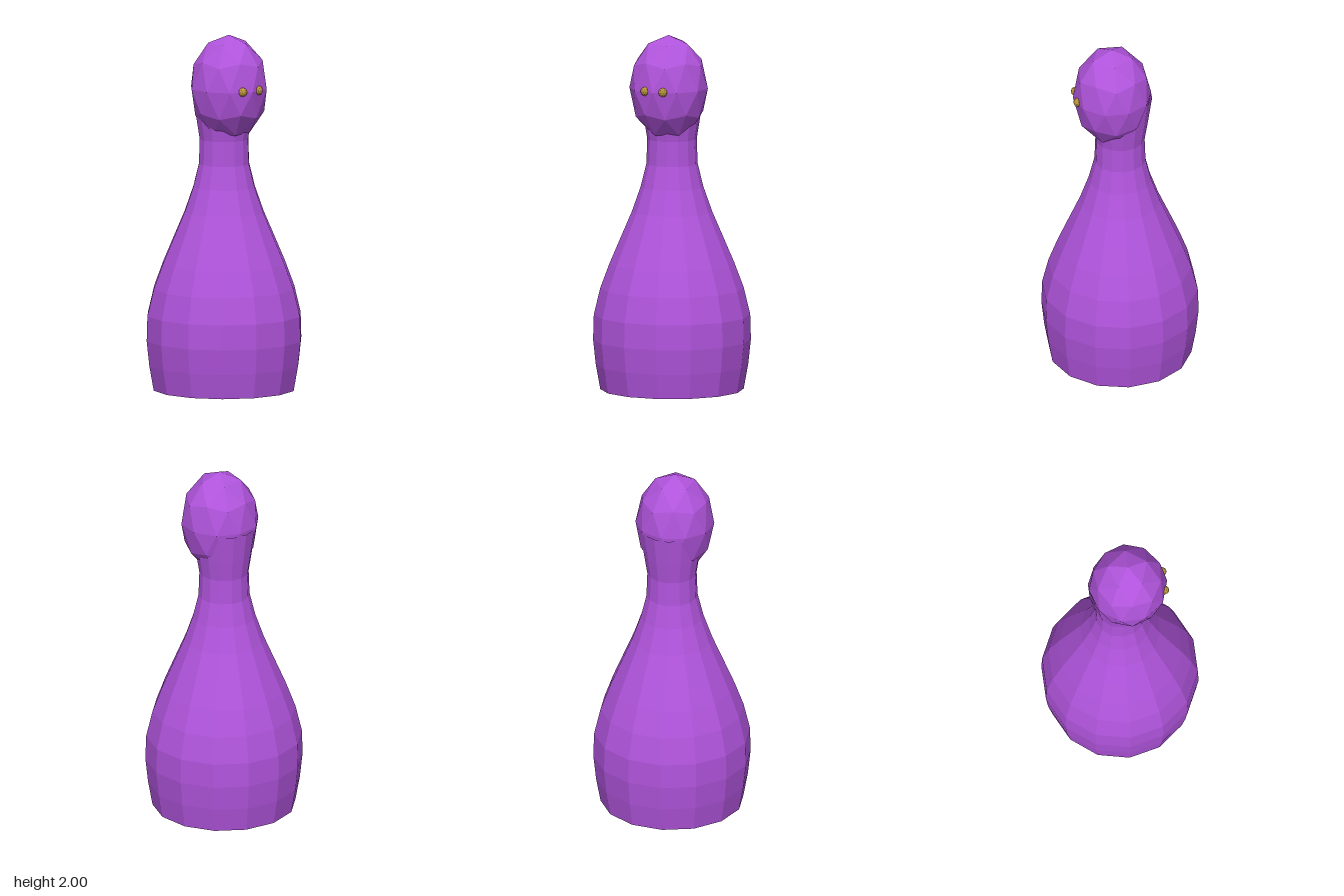
import * as THREE from 'three';

const purple = new THREE.MeshStandardMaterial({ color: 0xb054dc, flatShading: true, side: THREE.DoubleSide });
purple.name = 'purple';
const gold = new THREE.MeshStandardMaterial({ color: 0xb8923a, flatShading: true });
gold.name = 'gold';

function addPart(group, name, geometry, material) {
  const flat = geometry.index ? geometry.toNonIndexed() : geometry;
  flat.computeVertexNormals();
  const mesh = new THREE.Mesh(flat, material);
  mesh.name = name;
  group.add(mesh);
  return mesh;
}

// Faceted ball with one corner pointing straight up
function facetedBall(rx, ry, rz) {
  const ball = new THREE.IcosahedronGeometry(1, 1);
  ball.rotateZ(-Math.atan(2 / (1 + Math.sqrt(5))));
  return ball.scale(rx, ry, rz);
}

export function createModel() {
  const group = new THREE.Group();
  group.name = 'pinFigure';

  // Hollow pin-shaped body, open at the base and at the top of the neck
  const profile = [
    [0.4, 0], [0.425, 0.14], [0.44, 0.28], [0.436, 0.42], [0.4, 0.57],
    [0.348, 0.71], [0.284, 0.86], [0.224, 1.0], [0.175, 1.14],
    [0.143, 1.27], [0.138, 1.41], [0.157, 1.53], [0.18, 1.69],
  ].map(([r, y]) => new THREE.Vector2(r, y));
  addPart(group, 'body', new THREE.LatheGeometry(profile, 14, Math.PI / 2), purple);

  // Egg-shaped head, set slightly forward of the neck
  addPart(group, 'head', facetedBall(0.22, 0.298, 0.22), purple).position.set(0, 1.702, 0.045);

  // Bead eyes
  for (const side of [-1, 1]) {
    const eye = addPart(group, side > 0 ? 'leftEye' : 'rightEye', facetedBall(0.025, 0.026, 0.025), gold);
    eye.position.set(side * 0.055, 1.705, 0.244);
  }
  return group;
}
